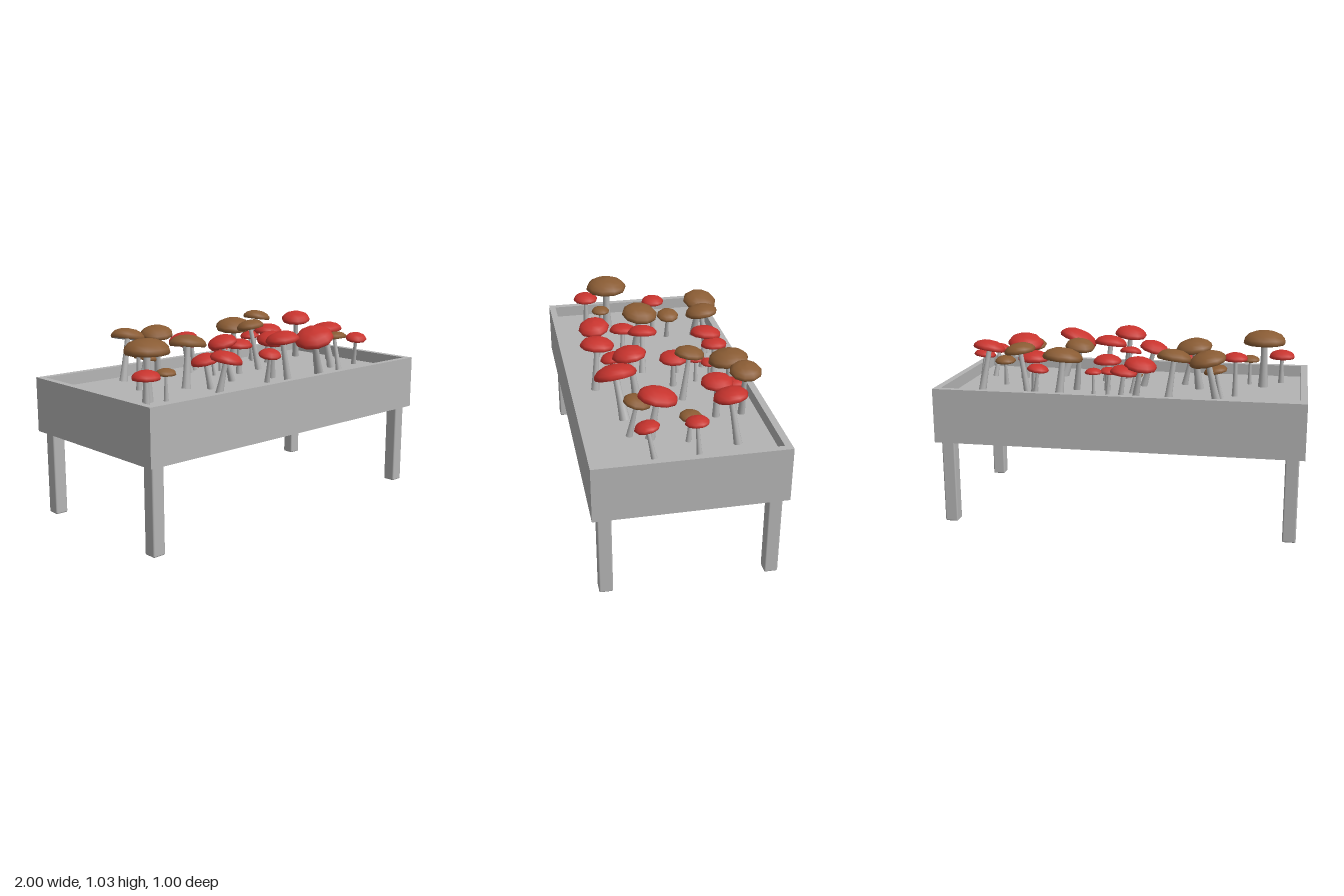
import * as THREE from 'three';
import { RoundedBoxGeometry } from 'three/addons/geometries/RoundedBoxGeometry.js';

const grey = new THREE.MeshStandardMaterial({ color: 0xb4b4b4, name: 'pale grey' });
const red = new THREE.MeshStandardMaterial({ color: 0xc8342e, name: 'mushroom red' });
const brown = new THREE.MeshStandardMaterial({ color: 0x8a5c34, name: 'mushroom brown' });

const SOIL = 0.7;

// [cap x, cap z, cap radius, cap top y, lean of the base in x, lean of the base in z]
const brownCaps = [
  [-0.75, 0.16, 0.123, 1.025, 0, 0],
  [-0.67, 0.21, 0.055, 0.87, 0, 0],
  [-0.365, 0.02, 0.105, 0.99, -0.03, 0.02],
  [-0.505, -0.18, 0.066, 0.885, -0.03, 0],
  [-0.48, -0.37, 0.1, 0.995, -0.05, 0.02],
  [-0.295, -0.34, 0.095, 0.995, 0.03, -0.03],
  [-0.05, -0.14, 0.046, 0.833, 0.02, 0],
  [0.26, -0.14, 0.083, 0.998, 0.03, 0.04],
  [0.31, -0.345, 0.11, 0.985, 0.02, -0.02],
  [0.535, -0.375, 0.085, 1.01, -0.04, 0],
  [0.725, -0.045, 0.06, 0.87, 0, 0.01],
  [0.62, 0.21, 0.073, 0.928, 0, 0.04],
];
const redCaps = [
  [-0.85, 0.28, 0.075, 0.893, 0, 0],
  [-0.605, -0.105, 0.068, 0.943, 0, 0],
  [-0.33, 0.125, 0.08, 0.895, 0.03, 0.01],
  [-0.335, 0.295, 0.09, 0.93, -0.03, -0.02],
  [-0.13, 0.045, 0.085, 0.965, 0.06, 0.01],
  [-0.11, -0.32, 0.09, 0.94, 0.03, 0.02],
  [-0.025, -0.35, 0.075, 0.9, 0.02, 0],
  [0.08, -0.22, 0.052, 0.86, 0.01, 0],
  [0.155, -0.28, 0.047, 0.865, 0, 0],
  [0.115, -0.085, 0.08, 0.905, 0, 0],
  [0.04, 0.245, 0.065, 0.893, 0.01, -0.03],
  [0.145, 0.165, 0.095, 0.97, 0.02, -0.03],
  [0.055, 0.33, 0.095, 1.0, 0.03, 0.02],
  [0.37, 0.275, 0.115, 0.982, 0.08, -0.03],
  [0.5, -0.235, 0.087, 0.942, 0, 0],
  [0.45, -0.345, 0.06, 0.89, 0.02, 0],
  [0.755, -0.24, 0.09, 0.995, 0.04, -0.035],
  [0.845, -0.05, 0.062, 0.905, 0.02, -0.01],
  [0.645, 0.11, 0.105, 0.973, 0.02, 0.04],
  [0.835, 0.195, 0.065, 0.898, 0.02, -0.03],
];

const lathe = (points) => new THREE.LatheGeometry(points.map(([x, y]) => new THREE.Vector2(x, y)), 10);

// Unit shapes, scaled by each cap radius
const domeGeometry = lathe([[0.93, 0], [1, 0.1], [0.96, 0.25], [0.78, 0.44], [0.45, 0.58], [0, 0.63]]);
const gillGeometry = lathe([[0, 0.08], [0.5, 0.06], [0.93, 0]]);

function makeMushroom([x, z, r, top, leanX, leanZ], material, name) {
  const group = new THREE.Group();
  group.name = name;
  const base = new THREE.Vector3(x + leanX, SOIL, z + leanZ);
  const head = new THREE.Vector3(x, top - 0.62 * r, z);
  const axis = head.clone().sub(base);
  const length = axis.length() + 0.07 * r;

  // Stem with a flared foot
  const stem = new THREE.Mesh(lathe([
    [0.25 * r, 0], [0.2 * r, length * 0.3], [0.16 * r, length * 0.7], [0.15 * r, length],
  ]), grey);
  stem.name = 'stem';

  // Coloured dome with grey gills below
  const cap = new THREE.Group();
  cap.name = 'cap';
  const dome = new THREE.Mesh(domeGeometry, material);
  dome.name = 'capDome';
  const gills = new THREE.Mesh(gillGeometry, grey);
  gills.name = 'gills';
  gills.scale.y = 1;
  cap.add(dome, gills);
  cap.scale.setScalar(r);
  cap.position.y = axis.length();

  group.add(stem, cap);
  group.position.copy(base);
  group.quaternion.setFromUnitVectors(new THREE.Vector3(0, 1, 0), axis.normalize());
  return group;
}

function box(name, w, h, d, x, y, z) {
  const mesh = new THREE.Mesh(new THREE.BoxGeometry(w, h, d), grey);
  mesh.name = name;
  mesh.position.set(x, y, z);
  return mesh;
}

export function createModel() {
  const model = new THREE.Group();
  model.name = 'mushroomPlanter';

  // Tray: solid bed with a raised wall on each side
  model.add(box('bed', 1.93, SOIL - 0.465, 0.93, 0, (SOIL + 0.465) / 2, 0));
  for (const s of [-1, 1]) {
    model.add(box('longWall', 2, 0.3, 0.037, 0, 0.615, s * 0.4815));
    model.add(box('endWall', 0.037, 0.3, 0.926, s * 0.9815, 0.615, 0));
  }

  // Legs
  const legGeometry = new RoundedBoxGeometry(0.072, 0.465, 0.072, 2, 0.008);
  for (const sx of [-1, 1]) {
    for (const sz of [-1, 1]) {
      const leg = new THREE.Mesh(legGeometry, grey);
      leg.name = 'leg';
      leg.position.set(sx * 0.935, 0.2325, sz * 0.436);
      model.add(leg);
    }
  }

  // Mushrooms
  brownCaps.forEach((m) => model.add(makeMushroom(m, brown, 'brownMushroom')));
  redCaps.forEach((m) => model.add(makeMushroom(m, red, 'redMushroom')));
  return model;
}
